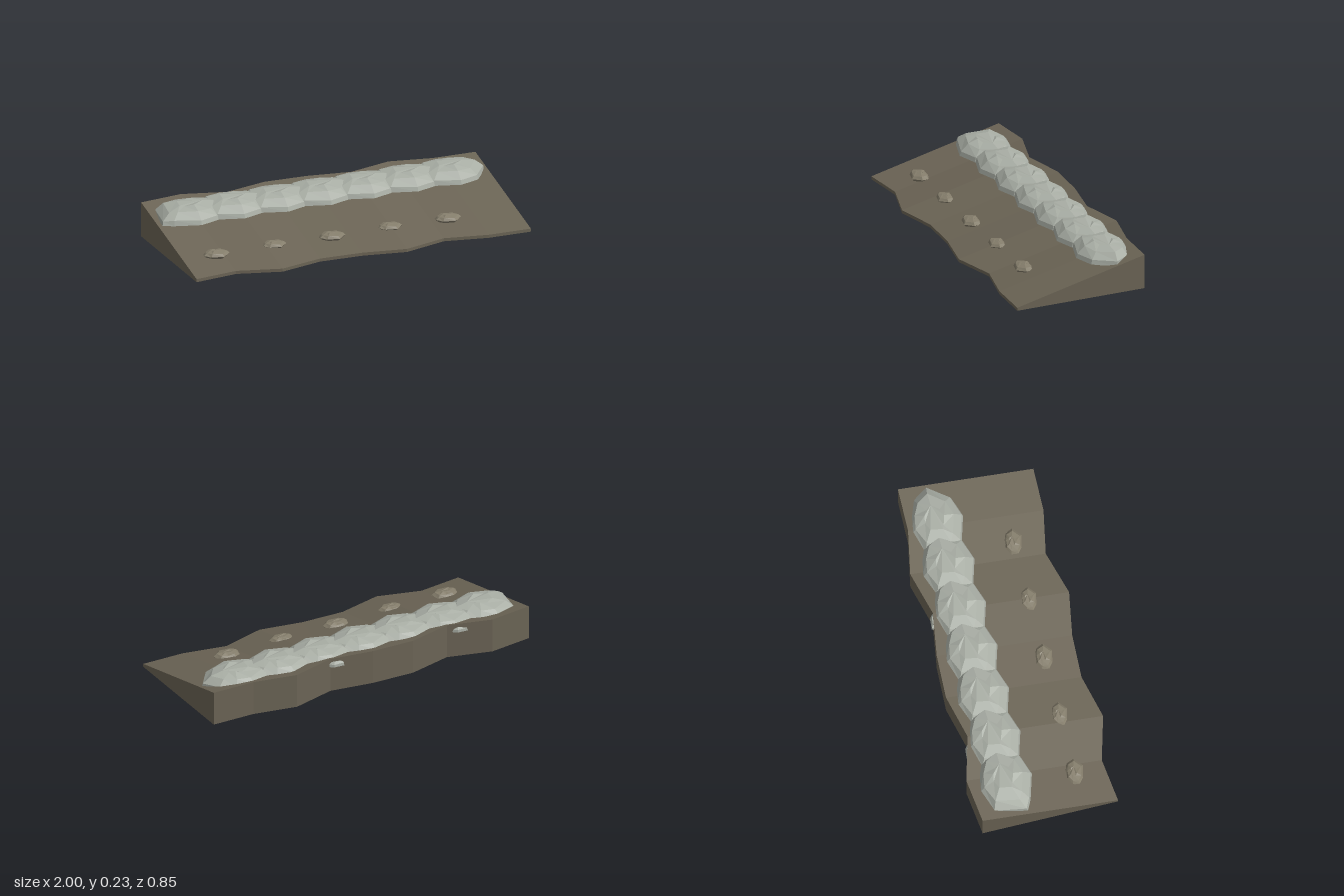
import * as THREE from 'three';

// Faceted closed skin through a list of equal-length rings of [x, y, z] points
function loft(rings) {
  const pos = [];
  const tri = (a, b, c) => pos.push(...a, ...b, ...c);
  const n = rings[0].length;
  for (let r = 0; r < rings.length - 1; r++) {
    const lo = rings[r], hi = rings[r + 1];
    for (let i = 0; i < n; i++) {
      const j = (i + 1) % n;
      tri(lo[i], hi[i], hi[j]);
      tri(lo[i], hi[j], lo[j]);
    }
  }
  // end caps
  const first = rings[0], last = rings[rings.length - 1];
  for (let i = 1; i < n - 1; i++) {
    tri(first[0], first[i], first[i + 1]);
    tri(last[0], last[i + 1], last[i]);
  }
  const geo = new THREE.BufferGeometry();
  geo.setAttribute('position', new THREE.Float32BufferAttribute(pos, 3));
  geo.computeVertexNormals();
  return geo;
}

// Stone: an irregular outline stacked at several levels [y, scale, z shift, roughness]
function stoneGeometry(outline, levels) {
  return loft(levels.map(([y, s, dz, rough], k) => outline.map(([x, z], i) => [
    x * s,
    y + rough * Math.sin(i * 2.4 + k),
    z * s + dz,
  ])));
}

export function createModel() {
  const group = new THREE.Group();
  const material = (color) => new THREE.MeshStandardMaterial({ color, flatShading: true });
  const earth = material(0x6b6455), pale = material(0xa9aea5), pebble = material(0x847d6b);

  const add = (name, geo, mat, x = 0, y = 0, z = 0) => {
    const mesh = new THREE.Mesh(geo, mat);
    mesh.name = name;
    mesh.position.set(x, y, z);
    group.add(mesh);
    return mesh;
  };

  // Sloping bank with wavy front and back edges
  const front = [0.38, 0.35, 0.42, 0.36, 0.37, 0.415, 0.345, 0.395, 0.4];
  const back = [-0.39, -0.42, -0.35, -0.41, -0.4, -0.36, -0.425, -0.375, -0.37];
  add('bank', loft(front.map((zf, i) => {
    const x = -1 + i * 0.25, zb = back[i];
    return [[x, 0, zf], [x, 0.018, zf], [x, 0.2, zb], [x, 0, zb]];
  })), earth);

  // Row of overlapping crest stones
  const crestOutline = [
    [0.21, 0], [0.12, 0.12], [0, 0.16], [-0.15, 0.115], [-0.21, 0.085],
    [-0.18, -0.1], [-0.05, -0.155], [0.06, -0.135], [0.15, -0.09],
  ];
  const crestGeo = stoneGeometry(crestOutline, [
    [0.15, 0.97, 0, 0], [0.176, 0.95, -0.005, 0.004],
    [0.212, 0.72, -0.012, 0.005], [0.229, 0.36, -0.01, 0.005],
  ]);
  for (let i = 0; i < 7; i++) add('crestStone', crestGeo, pale, -0.78 + i * 0.26, 0, -0.21);

  // Stone chips showing through the back face
  for (const [x, z] of [[-0.57, -0.355], [0.22, -0.357]]) {
    const chip = add('backChip', stoneGeometry(
      [[0.06, 0], [0.03, 0.03], [-0.06, 0.02], [-0.05, -0.018], [0.01, -0.025]],
      [[0.152, 1, 0, 0], [0.168, 0.95, 0, 0.001], [0.18, 0.6, 0, 0]],
    ), pale, x, 0, z);
    chip.rotation.y = -0.2;
  }

  // Half-buried small stones on the slope
  const smallOutline = [
    [0.078, 0.01], [0.03, 0.052], [-0.04, 0.036], [-0.073, 0.01],
    [-0.066, -0.03], [-0.03, -0.053], [0.02, -0.05], [0.062, -0.035],
  ];
  const smallGeo = stoneGeometry(smallOutline, [
    [0.05, 0.75, 0, 0], [0.066, 1, 0, 0.004], [0.081, 0.78, 0, 0.003], [0.088, 0.35, -0.005, 0.003],
  ]);
  for (let i = 0; i < 5; i++) {
    const stone = add('slopeStone', smallGeo, pebble, -0.8 + i * 0.348, 0, 0.185);
    if (i % 2) {
      stone.scale.set(0.92, 0.9, 0.92);
      stone.position.y = 0.01;
    }
  }
  return group;
}
